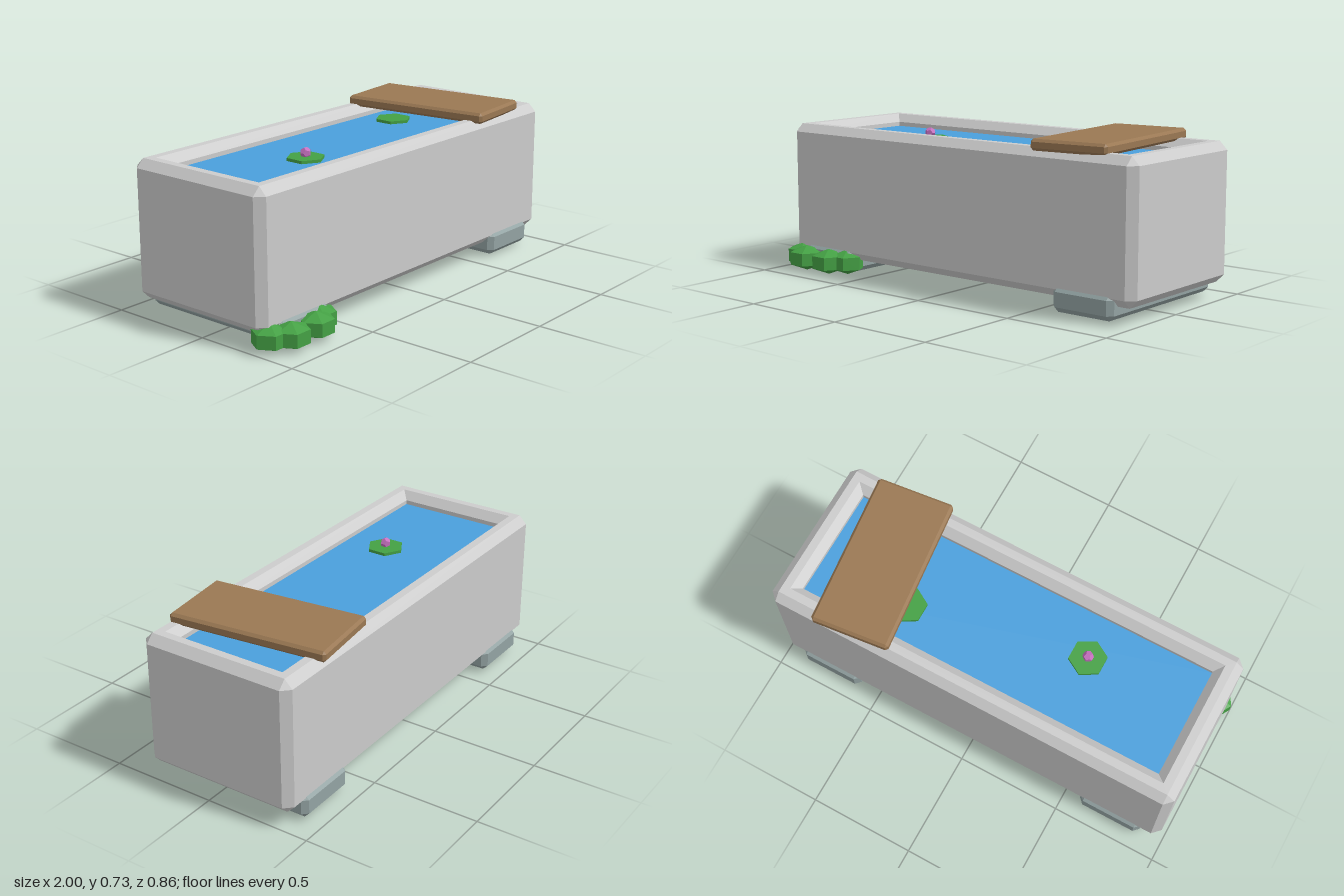
import * as THREE from 'three';

const mat = (color) => new THREE.MeshStandardMaterial({ color, flatShading: true });
const STONE = mat(0xcccccc), FOOT = mat(0x93a3a3), WOOD = mat(0x9a7853);
const WATER = mat(0x4a9fdc), LEAF = mat(0x44a044), PETAL = mat(0xc670c0);

function add(parent, name, geometry, material, x = 0, y = 0, z = 0) {
  const mesh = new THREE.Mesh(geometry, material);
  mesh.name = name;
  mesh.position.set(x, y, z);
  parent.add(mesh);
  return mesh;
}

// Rectangle with cut corners, counter-clockwise seen from above
function ring(w, d, y, k = 0) {
  return [[w, d - k], [w, k - d], [w - k, -d], [k - w, -d],
    [-w, k - d], [-w, d - k], [k - w, d], [w - k, d]]
    .map(([x, z]) => new THREE.Vector3(x, y, z));
}

// Skin a stack of rings; the first is capped, the last optionally
function loft(rings, capTop) {
  const pos = [];
  const tri = (a, b, c) => {
    if (new THREE.Triangle(a, b, c).getArea() > 1e-8) {
      for (const p of [a, b, c]) pos.push(p.x, p.y, p.z);
    }
  };
  for (let r = 0; r < rings.length - 1; r++) {
    const lo = rings[r], hi = rings[r + 1];
    for (let i = 0; i < 8; i++) {
      const j = (i + 1) % 8;
      tri(lo[i], lo[j], hi[j]);
      tri(lo[i], hi[j], hi[i]);
    }
  }
  const first = rings[0], last = rings[rings.length - 1];
  for (let i = 1; i < 7; i++) {
    tri(first[0], first[i + 1], first[i]);
    if (capTop) tri(last[0], last[i], last[i + 1]);
  }
  const g = new THREE.BufferGeometry();
  g.setAttribute('position', new THREE.Float32BufferAttribute(pos, 3));
  g.computeVertexNormals();
  return g;
}

// Lower part of a chamfered block, from the base up to the top edge
const blockRings = (w, h, d, c) => [
  ring(w / 2 - c, d / 2 - c, -h / 2),
  ring(w / 2, d / 2, -h / 2 + c, c),
  ring(w / 2, d / 2, h / 2 - c, c),
  ring(w / 2 - c, d / 2 - c, h / 2),
];
const chamferBox = (w, h, d, c) => loft(blockRings(w, h, d, c), true);

export function createModel() {
  const model = new THREE.Group();
  model.name = 'waterTrough';
  const cx = 0.01, cz = -0.047;

  // Stone basin with a bevelled rim and a recess
  const W = 1.98, H = 0.62, D = 0.742, c = 0.037;
  add(model, 'basin', loft([
    ...blockRings(W, H, D, c),
    ring(W / 2 - 2 * c, D / 2 - 2 * c, H / 2),
    ring(W / 2 - 3 * c, D / 2 - 3 * c, H / 2 - c),
    ring(W / 2 - 3 * c, D / 2 - 3 * c, H / 2 - 0.1),
  ], true), STONE, cx, 0.382, cz);

  // Water surface
  add(model, 'water', new THREE.BoxGeometry(W - 6 * c, 0.02, D - 6 * c), WATER, cx, 0.625, cz);

  // Two foot blocks running front to back
  for (const s of [-1, 1]) {
    add(model, 'foot', chamferBox(0.308, 0.113, 0.768, 0.024), FOOT, cx + s * 0.742, 0.0685, cz);
  }

  // Skewed plank lying across the rim
  const plank = add(model, 'plank', chamferBox(0.365, 0.05, 0.735, 0.012), WOOD, 0.625, 0.705, cz);
  plank.rotation.y = 0.112;

  // Lily pads and a flower
  for (const [x, z] of [[-0.365, 0.013], [0.445, -0.148]]) {
    add(model, 'lilyPad', new THREE.CylinderGeometry(0.086, 0.086, 0.015, 6), LEAF, x, 0.641, z);
  }
  add(model, 'flower', new THREE.DodecahedronGeometry(0.025), PETAL, -0.365, 0.665, 0.013);

  // Shrub clumps at the front corner
  const shrub = new THREE.Group();
  shrub.name = 'shrub';
  model.add(shrub);
  for (const [x, z] of [[-0.92, 0.31], [-0.85, 0.362], [-0.7, 0.362], [-0.628, 0.31]]) {
    const clump = add(shrub, 'clump', new THREE.SphereGeometry(0.06, 6, 3), LEAF, x, 0.06, z);
    clump.scale.set(1.54, 1, 1.54);
  }
  return model;
}
